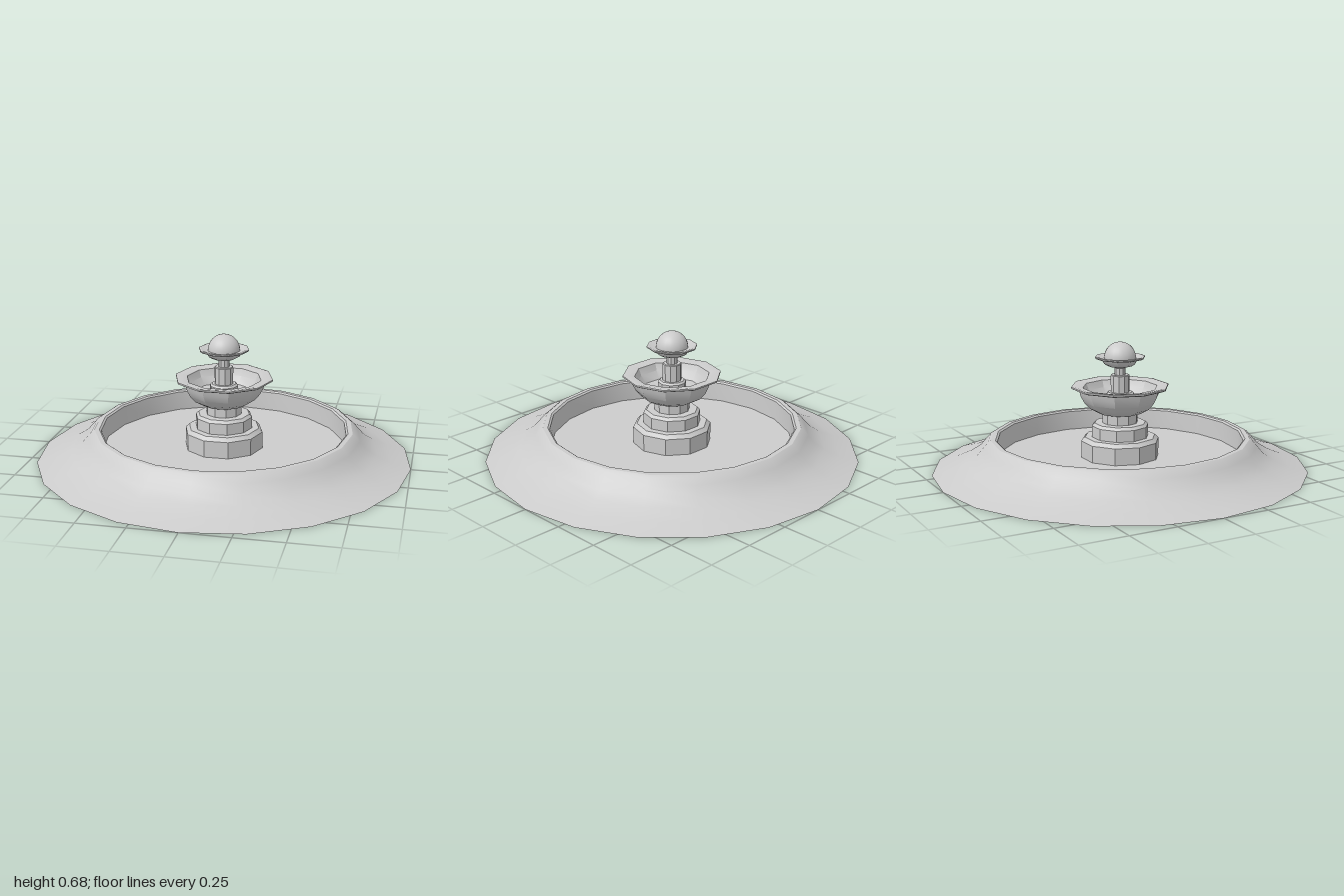
import * as THREE from 'three';
import { toCreasedNormals } from 'three/addons/utils/BufferGeometryUtils.js';

const material = new THREE.MeshStandardMaterial({ color: 0xcccccc });

// Turned part: profile of [radius, height] pairs, from the bottom outwards and up
function turned(name, profile, sides) {
  const points = profile.map(([r, y]) => new THREE.Vector2(r, y));
  const lathe = new THREE.LatheGeometry(points, sides, Math.PI / 2);
  const mesh = new THREE.Mesh(toCreasedNormals(lathe, THREE.MathUtils.degToRad(30)), material);
  mesh.name = name;
  return mesh;
}

// Faceted plinth with a chamfered top edge
function plinth(name, radius, bottom, top, chamfer) {
  return turned(name, [
    [0, bottom], [radius, bottom], [radius, top - chamfer],
    [radius - chamfer, top], [0, top],
  ], 10);
}

export function createModel() {
  const fountain = new THREE.Group();
  fountain.name = 'fountain';

  // Flared pool wall with a sunken floor
  fountain.add(turned('pool', [
    [0, 0], [1, 0], [0.9, 0.026], [0.82, 0.06], [0.765, 0.095], [0.73, 0.135],
    [0.705, 0.163], [0.69, 0.173], [0.665, 0.173], [0.655, 0.165], [0.65, 0.06], [0, 0.06],
  ], 20));

  // Stepped pedestal
  fountain.add(plinth('lowerPlinth', 0.21, 0.06, 0.17, 0.02));
  fountain.add(plinth('upperPlinth', 0.153, 0.17, 0.245, 0.015));
  fountain.add(plinth('pedestalColumn', 0.095, 0.245, 0.31, 0));

  // Large bowl with a wide flat lip
  fountain.add(turned('largeBowl', [
    [0, 0.3], [0.12, 0.3], [0.165, 0.325], [0.195, 0.36], [0.212, 0.395], [0.22, 0.425],
    [0.25, 0.43], [0.262, 0.436], [0.262, 0.444], [0.25, 0.446],
    [0.2, 0.437], [0.185, 0.4], [0.155, 0.36], [0, 0.355],
  ], 10));

  // Stem rising out of the bowl
  fountain.add(plinth('stemBase', 0.075, 0.355, 0.41, 0.01));
  fountain.add(plinth('stemPost', 0.05, 0.41, 0.503, 0.004));
  fountain.add(turned('stemNeck', [
    [0, 0.5], [0.03, 0.5], [0.03, 0.54], [0.045, 0.555], [0, 0.555],
  ], 10));

  // Small top dish
  fountain.add(turned('topDish', [
    [0, 0.55], [0.065, 0.55], [0.085, 0.562], [0.097, 0.583],
    [0.127, 0.589], [0.134, 0.594], [0.134, 0.6], [0.125, 0.602], [0.095, 0.592], [0, 0.592],
  ], 10));

  // Smooth ball finial
  const ball = new THREE.Mesh(new THREE.SphereGeometry(0.085, 20, 12, 0, Math.PI * 2, 0, Math.PI / 2), material);
  ball.name = 'ballFinial';
  ball.position.y = 0.592;
  fountain.add(ball);

  return fountain;
}
